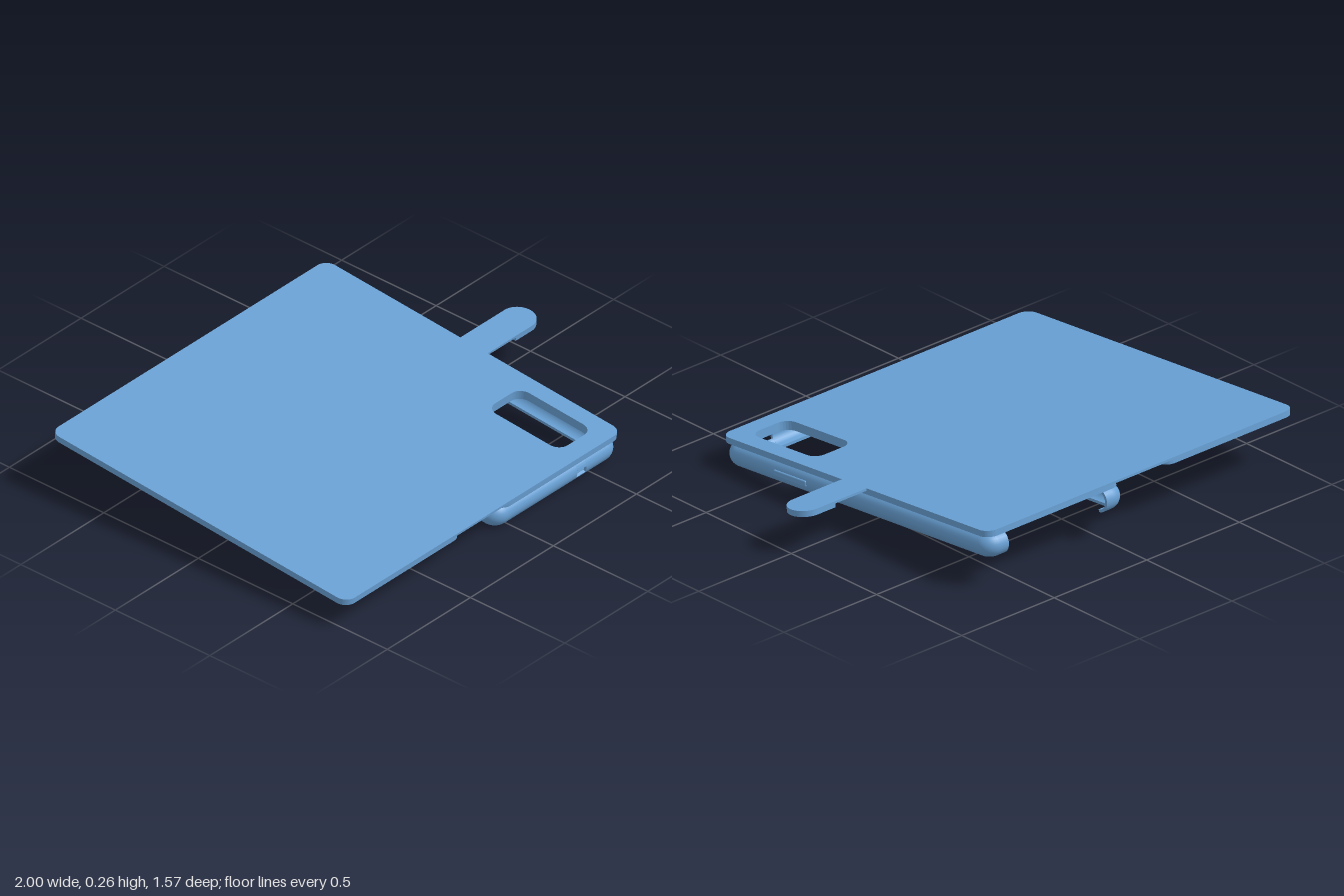
import * as THREE from 'three';
import { toCreasedNormals } from 'three/addons/utils/BufferGeometryUtils.js';
import { RoundedBoxGeometry } from 'three/addons/geometries/RoundedBoxGeometry.js';

const blue = new THREE.MeshStandardMaterial({ name: 'blue', color: 0x68a0d4 });

// Tray outline and wall size
const X0 = -0.09, X1 = 0.66, Z = 0.785, CORNER = 0.07;
const RADIUS = 0.053, WALL = 0.012, TRAY_TOP = -0.027;
const MID = TRAY_TOP - RADIUS;

// Rounded rectangle in x (across) and z (drawn as the shape's y)
function roundRect(target, x0, x1, z0, z1, r) {
  target.moveTo(x0 + r, z0);
  target.lineTo(x1 - r, z0);
  target.absarc(x1 - r, z0 + r, r, -Math.PI / 2, 0);
  target.lineTo(x1, z1 - r);
  target.absarc(x1 - r, z1 - r, r, 0, Math.PI / 2);
  target.lineTo(x0 + r, z1);
  target.absarc(x0 + r, z1 - r, r, Math.PI / 2, Math.PI);
  target.lineTo(x0, z0 + r);
  target.absarc(x0 + r, z0 + r, r, Math.PI, Math.PI * 1.5);
  return target;
}

// Tongue with a rounded outer end
function tongue(x0) {
  const s = new THREE.Shape();
  s.moveTo(x0, -0.073);
  s.lineTo(0.927, -0.073);
  s.absarc(0.927, 0, 0.073, -Math.PI / 2, Math.PI / 2);
  s.lineTo(x0, 0.073);
  return s;
}

// Flat sheet whose upper face lies at the given height
function sheet(name, shape, top, thickness) {
  const g = new THREE.ExtrudeGeometry(shape, { depth: thickness, bevelEnabled: false, curveSegments: 10 });
  g.rotateX(Math.PI / 2);
  const mesh = new THREE.Mesh(toCreasedNormals(g, 0.6), blue);
  mesh.name = name;
  mesh.position.y = top;
  return mesh;
}

function withHole(shape) {
  shape.holes.push(roundRect(new THREE.Path(), 0.38, 0.58, 0.315, 0.7, 0.05));
  return shape;
}

// C-shaped wall swept along stations [x, z, direction]; a0 to a1 is the arc of the C
function sweepWall(name, stations, a0 = Math.PI / 2, a1 = -Math.PI / 2) {
  const n = 15, loop = 2 * n, pos = [], idx = [];
  for (const [x, z, t] of stations) {
    for (let k = 0; k < loop; k++) {
      const j = k < n ? k : loop - 1 - k;
      const r = k < n ? RADIUS : RADIUS - WALL;
      const a = a0 + (a1 - a0) * j / (n - 1);
      const out = r * Math.cos(a) - RADIUS;
      pos.push(x + out * Math.cos(t), MID + r * Math.sin(a), z + out * Math.sin(t));
    }
  }
  for (let i = 0; i < stations.length - 1; i++) {
    for (let k = 0; k < loop; k++) {
      const A = i * loop + k, B = i * loop + (k + 1) % loop;
      idx.push(A, A + loop, B, B, A + loop, B + loop);
    }
  }
  // Cut ends
  const e = (stations.length - 1) * loop;
  for (let j = 0; j < n - 1; j++) {
    const o0 = j, o1 = j + 1, i0 = loop - 1 - j, i1 = loop - 2 - j;
    idx.push(o0, o1, i1, o0, i1, i0);
    idx.push(e + o0, e + i1, e + o1, e + o0, e + i0, e + i1);
  }
  const g = new THREE.BufferGeometry();
  g.setAttribute('position', new THREE.Float32BufferAttribute(pos, 3));
  g.setIndex(idx);
  const mesh = new THREE.Mesh(toCreasedNormals(g, 0.7), blue);
  mesh.name = name;
  return mesh;
}

// Stations round one corner of the tray
function corner(cx, cz, start) {
  const list = [];
  for (let i = 0; i <= 8; i++) {
    const t = start + i / 8 * Math.PI / 2;
    list.push([cx + CORNER * Math.cos(t), cz + CORNER * Math.sin(t), t]);
  }
  return list;
}

export function createModel() {
  const model = new THREE.Group();
  model.name = 'folioPhoneCase';
  const body = new THREE.Group();
  body.name = 'caseBody';
  model.add(body);

  // Cover: thin outer sheet, two stiff panels with a flexible spine between
  body.add(sheet('outerCover', withHole(roundRect(new THREE.Shape(), -1, X1, -0.787, 0.787, 0.05)), 0, 0.01));
  body.add(sheet('frontPanel', roundRect(new THREE.Shape(), -1, -0.3, -0.787, 0.787, 0.05), -0.01, 0.017));
  body.add(sheet('backPanel', withHole(roundRect(new THREE.Shape(), -0.06, X1, -0.787, 0.787, 0.05)), -0.01, 0.017));

  // Closing strap with a magnet pad
  body.add(sheet('strap', tongue(X1), 0, 0.01));
  body.add(sheet('magnetPad', tongue(0.83), -0.01, 0.016));

  // Tray floor
  const inset = RADIUS - 0.003;
  body.add(sheet('trayFloor', withHole(roundRect(new THREE.Shape(), X0 + inset, X1 - inset, -Z + inset, Z - inset, 0.02)), TRAY_TOP, WALL));

  // Tray walls, open in the middle of the back end and round the charging slot
  const H = Math.PI / 2, slotA = 0.455, slotB = 0.4;
  body.add(sweepWall('rightTrayWall', [
    [0.55, -Z, -H],
    ...corner(X1 - CORNER, -Z + CORNER, -H),
    ...corner(X1 - CORNER, Z - CORNER, 0),
    [slotA, Z, H],
  ]));
  body.add(sweepWall('leftTrayWall', [
    [slotB, Z, H],
    ...corner(X0 + CORNER, Z - CORNER, H),
    ...corner(X0 + CORNER, -Z + CORNER, 2 * H),
    [0.02, -Z, 3 * H],
  ]));
  const slot = [[slotA, Z, H], [slotB, Z, H]];
  body.add(sweepWall('wallAboveSlot', slot, H, 0.17));
  body.add(sweepWall('wallBelowSlot', slot, -0.4, -H));

  // Side button covers
  for (const [name, z, length] of [['volumeButton', 0.385, 0.19], ['powerButton', 0.14, 0.1]]) {
    const button = new THREE.Mesh(new RoundedBoxGeometry(0.014, 0.027, length, 3, 0.006), blue);
    button.name = name;
    button.position.set(X1 - 0.002, MID, z);
    body.add(button);
  }

  // The case leans, front end low
  body.rotation.x = 0.0855;
  body.position.y = 0.197;
  return model;
}
